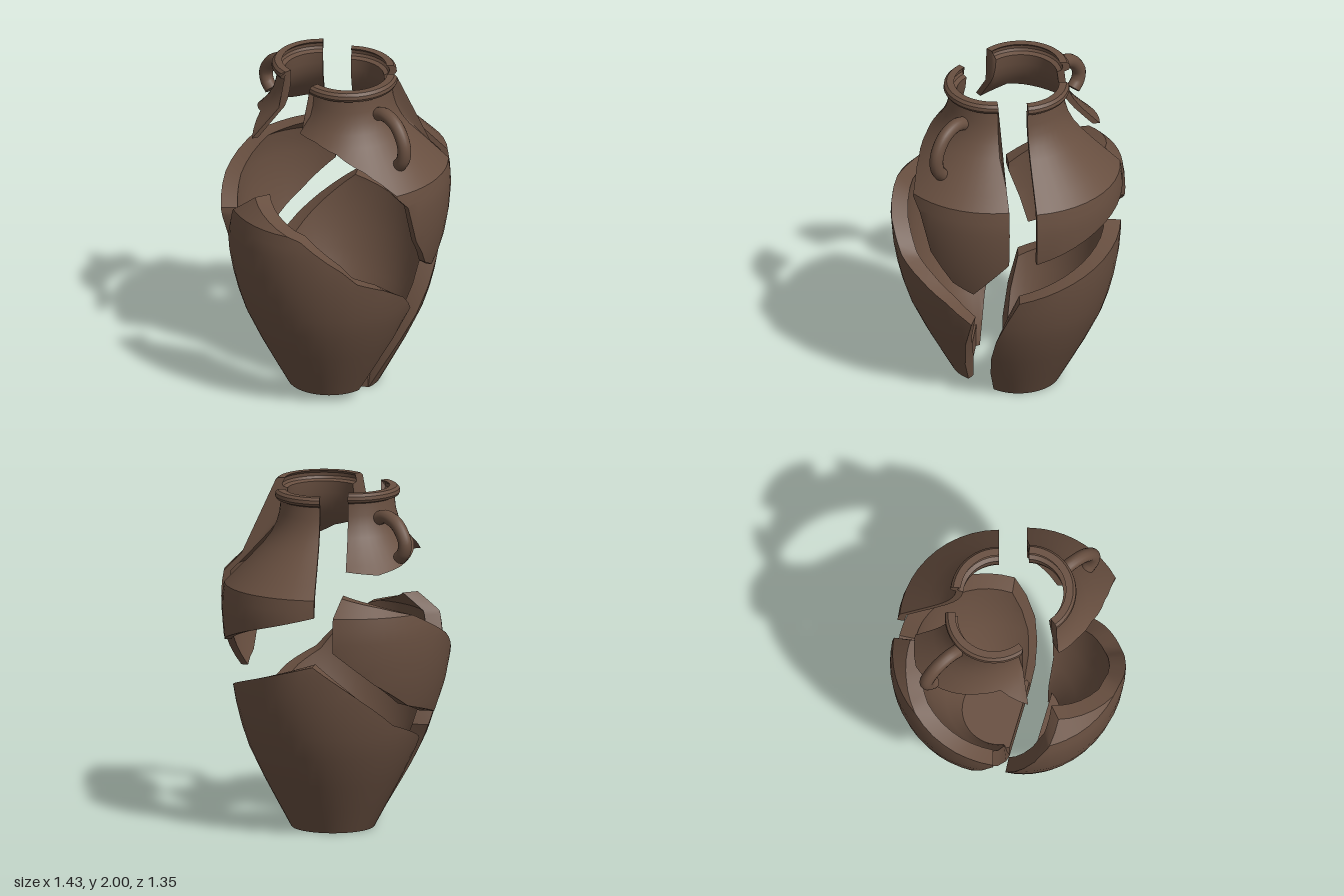
import * as THREE from 'three';
import { toCreasedNormals } from 'three/addons/utils/BufferGeometryUtils.js';

const clay = new THREE.MeshStandardMaterial({ color: 0x684f40 });
clay.name = 'brown clay';

// Outer profile of the unbroken jar as [height, radius]
const PROFILE = [
  [0, 0.24], [0.13, 0.31], [0.3, 0.4], [0.48, 0.485], [0.6, 0.525], [0.72, 0.555], [0.85, 0.578],
  [1.0, 0.59], [1.08, 0.586], [1.15, 0.575], [1.22, 0.505], [1.3, 0.425], [1.38, 0.35], [1.44, 0.305],
  [1.5, 0.275], [1.56, 0.258], [1.63, 0.25], [1.64, 0.275], [1.655, 0.283], [1.675, 0.28], [1.69, 0.265],
];
const RIM = 1.69;
const rad = THREE.MathUtils.degToRad;

// Piecewise linear lookup in a sorted list of pairs
function lookup(list, t) {
  if (t <= list[0][0]) return list[0][1];
  for (let i = 1; i < list.length; i++) {
    const [a, va] = list[i - 1], [b, vb] = list[i];
    if (t <= b) return va + (vb - va) * (t - a) / (b - a);
  }
  return list[list.length - 1][1];
}

// Wall thickness: heavy body, thin shoulder and neck
const thickWall = (y) => 0.045 + 0.05 * Math.min(1, y / 0.13);
const thinWall = () => 0.042;

// Curved shard between a lower and an upper broken edge, both given as [angle, height]
function shardGeometry(lower, upper, wall) {
  const start = lower[0][0], end = lower[lower.length - 1][0];
  const marks = [...new Set([...lower, ...upper].map((p) => p[0]))]
    .filter((a) => a >= start && a <= end).sort((a, b) => a - b);
  const angles = [marks[0]];
  for (let i = 1; i < marks.length; i++) {
    const n = Math.ceil((marks[i] - marks[i - 1]) / 8);
    for (let k = 1; k <= n; k++) angles.push(marks[i - 1] + (marks[i] - marks[i - 1]) * k / n);
  }
  // Each column is a closed loop: up the outside, down the inside
  const rows = PROFILE.length;
  const columns = angles.map((a) => {
    const low = lookup(lower, a), high = Math.max(low, lookup(upper, a));
    const point = (y, inset) => {
      const r = lookup(PROFILE, y) - inset;
      return new THREE.Vector3(r * Math.sin(rad(a)), y, r * Math.cos(rad(a)));
    };
    const heights = PROFILE.map(([y]) => Math.min(high, Math.max(low, y)));
    return [
      ...heights.map((y) => point(y, 0)),
      ...heights.reverse().map((y) => point(y, wall(y))),
    ];
  });
  const positions = [];
  const ab = new THREE.Vector3(), ac = new THREE.Vector3();
  const tri = (a, b, c) => {
    ab.subVectors(b, a);
    ac.subVectors(c, a);
    if (ab.cross(ac).length() < 1e-7) return;
    for (const p of [a, b, c]) positions.push(p.x, p.y, p.z);
  };
  const quad = (a, b, c, d) => { tri(a, b, c); tri(a, c, d); };
  const loop = rows * 2;
  for (let i = 0; i < columns.length - 1; i++) {
    const p = columns[i], q = columns[i + 1];
    for (let k = 0; k < loop; k++) {
      const n = (k + 1) % loop;
      quad(p[k], q[k], q[n], p[n]);
    }
  }
  // Broken faces at both ends
  const first = columns[0], last = columns[columns.length - 1];
  for (let j = 0; j < rows - 1; j++) {
    const m = loop - 1 - j;
    quad(first[j], first[j + 1], first[m - 1], first[m]);
    quad(last[m], last[m - 1], last[j + 1], last[j]);
  }
  const geometry = new THREE.BufferGeometry();
  geometry.setAttribute('position', new THREE.Float32BufferAttribute(positions, 3));
  return toCreasedNormals(geometry, 0.5);
}

// Floor slab: the part of the base disc on one side of the break
function floorGeometry(from, to) {
  const points = [];
  for (let i = 0; i <= 30; i++) {
    const a = rad(from + (to - from) * i / 30);
    points.push(new THREE.Vector2(0.238 * Math.sin(a), -0.238 * Math.cos(a)));
  }
  const geometry = new THREE.ExtrudeGeometry(new THREE.Shape(points), { depth: 0.13, bevelEnabled: false });
  return geometry.rotateX(-Math.PI / 2);
}

// Handle: a bent round tube with closed ends
function addHandle(group, name, path) {
  const curve = new THREE.CatmullRomCurve3(path.map(([x, y]) => new THREE.Vector3(x, y, 0.005)));
  const handle = new THREE.Group();
  handle.name = name;
  const tube = new THREE.Mesh(new THREE.TubeGeometry(curve, 28, 0.04, 14), clay);
  tube.name = 'handleTube';
  handle.add(tube);
  for (const t of [0, 1]) {
    const cap = new THREE.Mesh(new THREE.CircleGeometry(0.04, 14), clay);
    cap.name = 'handleEnd';
    cap.position.copy(curve.getPoint(t));
    const out = curve.getTangent(t).multiplyScalar(t ? 1 : -1);
    cap.quaternion.setFromUnitVectors(new THREE.Vector3(0, 0, 1), out);
    handle.add(cap);
  }
  group.add(handle);
}

// Shards, each pushed outward and upward from its place in the jar
const SHARDS = [
  {
    name: 'frontBodyShard', at: [0.04, 0.05, 0.08], wall: thickWall, floor: [-25, 95],
    lower: [[-51, 0.53], [-25, 0], [95, 0], [117, 0.54]],
    upper: [[-51, 0.53], [-33, 0.95], [-24, 1.15], [-14, 1.25], [33, 1.13], [57, 0.95], [66, 0.86],
      [84, 0.78], [101, 0.68], [117, 0.54]],
  },
  {
    name: 'backBodyShard', at: [-0.03, 0, -0.05], wall: thickWall, floor: [95, 335],
    lower: [[95, 0], [335, 0]],
    upper: [[95, 0], [116, 0.48], [132, 0.8], [180, 0.93], [219, 1.04], [270, 0.67], [312, 0.53], [335, 0]],
  },
  {
    name: 'rightBellyShard', at: [-0.122, 0.18, 0], wall: thickWall,
    lower: [[-139, 0.95], [-115, 0.76], [-90, 0.61], [-53, 0.52], [-39, 0.82]],
    upper: [[-139, 1.15], [-135, 1.25], [-110, 1.2], [-90, 1.15], [-60, 1.0], [-39, 0.87]],
  },
  {
    name: 'leftShoulderShard', at: [0.125, 0.31, 0.01], wall: thinWall,
    lower: [[-6, 1.4], [16, 1.39], [40, 1.35], [62, 1.27], [72, 1.21], [86, 1.06], [93, 0.82],
      [106, 0.63], [119, 0.56], [141, 0.79]],
    upper: [[-6, 1.42], [-2, RIM], [138, RIM], [141, 1.25]],
  },
  {
    name: 'rightShoulderShard', at: [-0.12, 0.31, 0.01], wall: thinWall,
    lower: [[-133, 1.27], [-110, 1.25], [-90, 1.28], [-66, 1.33], [-50, 1.36], [-33, 1.38], [-13, 1.28],
      [-5, 1.46], [0, RIM]],
    upper: [[-133, RIM], [0, RIM]],
  },
  {
    name: 'backShoulderShard', at: [0, 0.28, -0.09], wall: thinWall,
    lower: [[141, 0.81], [180, 0.93], [225, 1.05]],
    upper: [[141, RIM], [225, RIM]],
  },
];

export function createModel() {
  const model = new THREE.Group();
  model.name = 'brokenJar';
  for (const { name, at, wall, floor, lower, upper } of SHARDS) {
    const shard = new THREE.Group();
    shard.name = name;
    shard.position.set(...at);
    const wallMesh = new THREE.Mesh(shardGeometry(lower, upper, wall), clay);
    wallMesh.name = name + 'Wall';
    shard.add(wallMesh);
    if (floor) {
      const base = new THREE.Mesh(floorGeometry(...floor), clay);
      base.name = name + 'Floor';
      shard.add(base);
    }
    model.add(shard);
  }
  addHandle(model, 'leftHandle',
    [[0.36, 1.83], [0.45, 1.855], [0.55, 1.82], [0.615, 1.72], [0.61, 1.63], [0.555, 1.56]]);
  addHandle(model, 'rightHandle',
    [[-0.36, 1.84], [-0.45, 1.865], [-0.55, 1.83], [-0.615, 1.74], [-0.605, 1.68], [-0.565, 1.64]]);
  return model;
}
